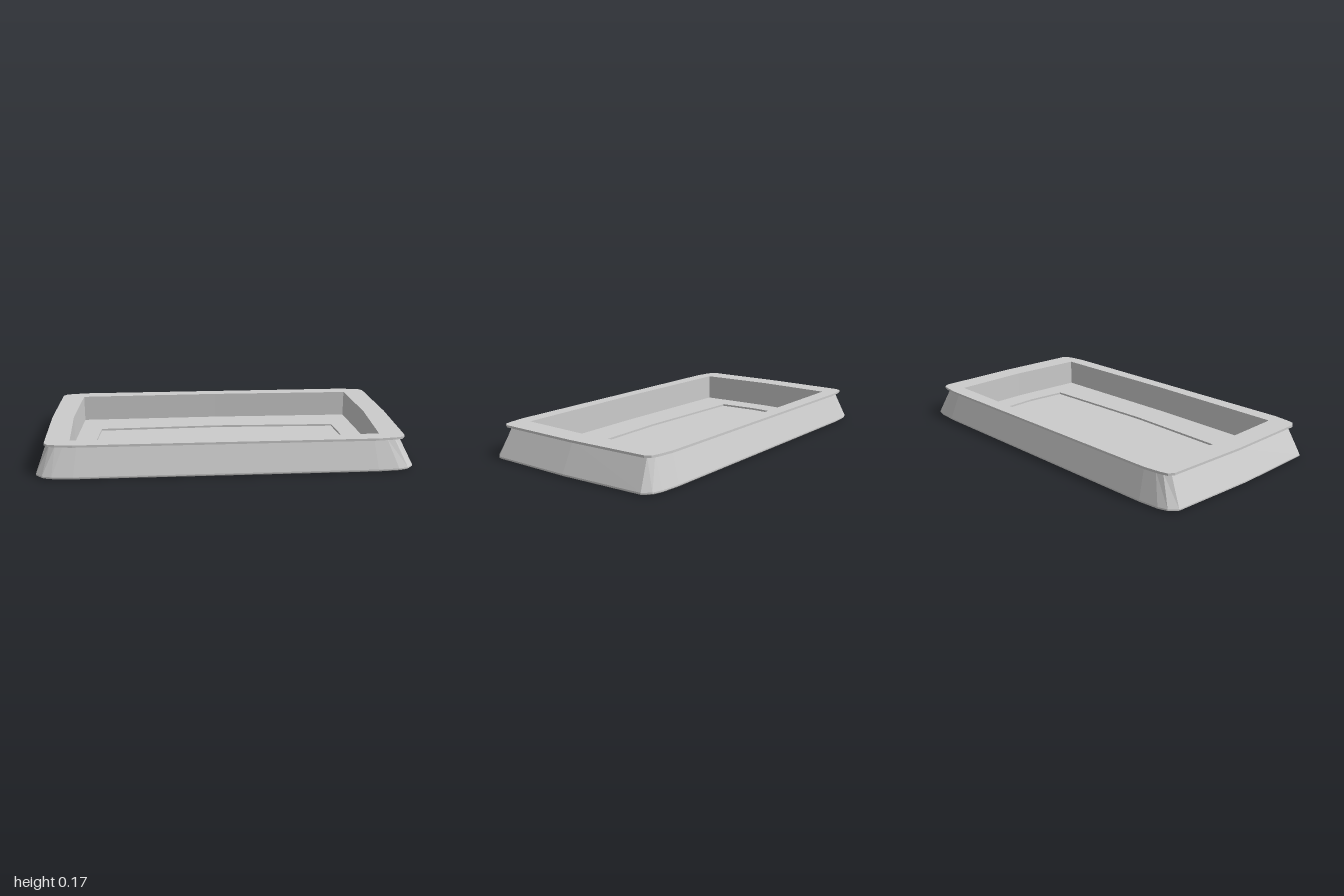
import * as THREE from 'three';

const material = new THREE.MeshStandardMaterial({ color: 0xcccccc, flatShading: true });

// Quarter outlines [x, z], running from the +x axis to the +z axis
const FOOT = [[0.99, 0], [0.975, 0.475], [0.94, 0.512], [0.89, 0.527], [0.78, 0.535], [0, 0.535]];
const BASE = [[1, 0], [0.985, 0.48], [0.95, 0.52], [0.9, 0.535], [0.79, 0.543], [0, 0.543]];
const NECK = [[0.925, 0], [0.91, 0.457], [0.88, 0.48], [0.84, 0.487], [0.77, 0.492], [0, 0.492]];
const RIM = [[0.95, 0], [0.938, 0.463], [0.92, 0.492], [0.88, 0.503], [0.79, 0.515], [0, 0.515]];
const OPENING = [[0.83, 0], [0.81, 0.43], [0, 0.442]];
const PANEL = [[0.712, 0], [0.695, 0.232], [0, 0.255]];

// Mirrors a quarter outline into a full closed loop
function fullLoop(quarter) {
  const half = [...quarter, ...quarter.slice(0, -1).reverse().map(([x, z]) => [-x, z])];
  return [...half, ...half.slice(1, -1).reverse().map(([x, z]) => [x, -z])];
}

const toVectors = (points) => points.map(([x, z]) => new THREE.Vector2(x, z));

function outline(quarter, holes = []) {
  const shape = new THREE.Shape(toVectors(fullLoop(quarter)));
  for (const hole of holes) shape.holes.push(new THREE.Path(toVectors(hole)));
  return shape;
}

function addMesh(group, name, geometry) {
  const mesh = new THREE.Mesh(geometry, material);
  mesh.name = name;
  group.add(mesh);
}

// Skins a stack of [quarter outline, height] rings; rings going up face outward
function loft(rings) {
  const loops = rings.map(([quarter, y]) => fullLoop(quarter).map(([x, z]) => [x, y, z]));
  const positions = [];
  for (let r = 0; r < loops.length - 1; r++) {
    const low = loops[r], high = loops[r + 1], n = low.length;
    for (let i = 0; i < n; i++) {
      const j = (i + 1) % n;
      positions.push(...low[i], ...high[i], ...high[j], ...low[i], ...high[j], ...low[j]);
    }
  }
  return triangles(positions);
}

function triangles(positions) {
  const geometry = new THREE.BufferGeometry();
  geometry.setAttribute('position', new THREE.Float32BufferAttribute(positions, 3));
  geometry.computeVertexNormals();
  return geometry;
}

const flat = (shape, y) => new THREE.ShapeGeometry(shape).rotateX(-Math.PI / 2).translate(0, y, 0);

export function createModel() {
  const group = new THREE.Group();
  group.name = 'tray';
  const rimTop = 0.175, rimBottom = 0.163, floorY = 0.027, panelY = 0.016;

  // Sloping outer wall with a small bevel at the foot
  addMesh(group, 'outerWall', loft([[FOOT, 0], [BASE, 0.007], [BASE, 0.014], [NECK, rimBottom]]));

  // Overhanging rim
  const rim = new THREE.ExtrudeGeometry(outline(RIM, [fullLoop(OPENING)]), {
    depth: rimTop - rimBottom, bevelEnabled: false,
  });
  addMesh(group, 'rim', rim.rotateX(-Math.PI / 2).translate(0, rimBottom, 0));

  // Inner wall, floor and sunken floor panel
  addMesh(group, 'innerWall', loft([[OPENING, rimBottom], [OPENING, floorY]]));
  addMesh(group, 'floor', flat(outline(OPENING, [fullLoop(PANEL)]), floorY));
  addMesh(group, 'panelEdge', loft([[PANEL, floorY], [PANEL, panelY]]));
  addMesh(group, 'floorPanel', flat(outline(PANEL), panelY));

  // Underside with a triangular notch near each end
  const notches = [1, -1].map((s) => [[0.855 * s, 0.215], [0.855 * s, -0.215], [0.74 * s, 0]]);
  const underside = new THREE.ShapeGeometry(outline(FOOT, notches)).rotateX(Math.PI / 2);
  addMesh(group, 'underside', underside);

  // Each notch slopes from its tip to a deepest point on the long edge
  for (const s of [1, -1]) {
    const a = [0.855 * s, 0, 0.215 * s], b = [0.855 * s, 0, -0.215 * s];
    const tip = [0.74 * s, 0, 0], deep = [0.855 * s, 0.012, 0];
    addMesh(group, s > 0 ? 'leftNotch' : 'rightNotch',
      triangles([...tip, ...deep, ...a, ...tip, ...b, ...deep, ...a, ...deep, ...b]));
  }
  return group;
}
